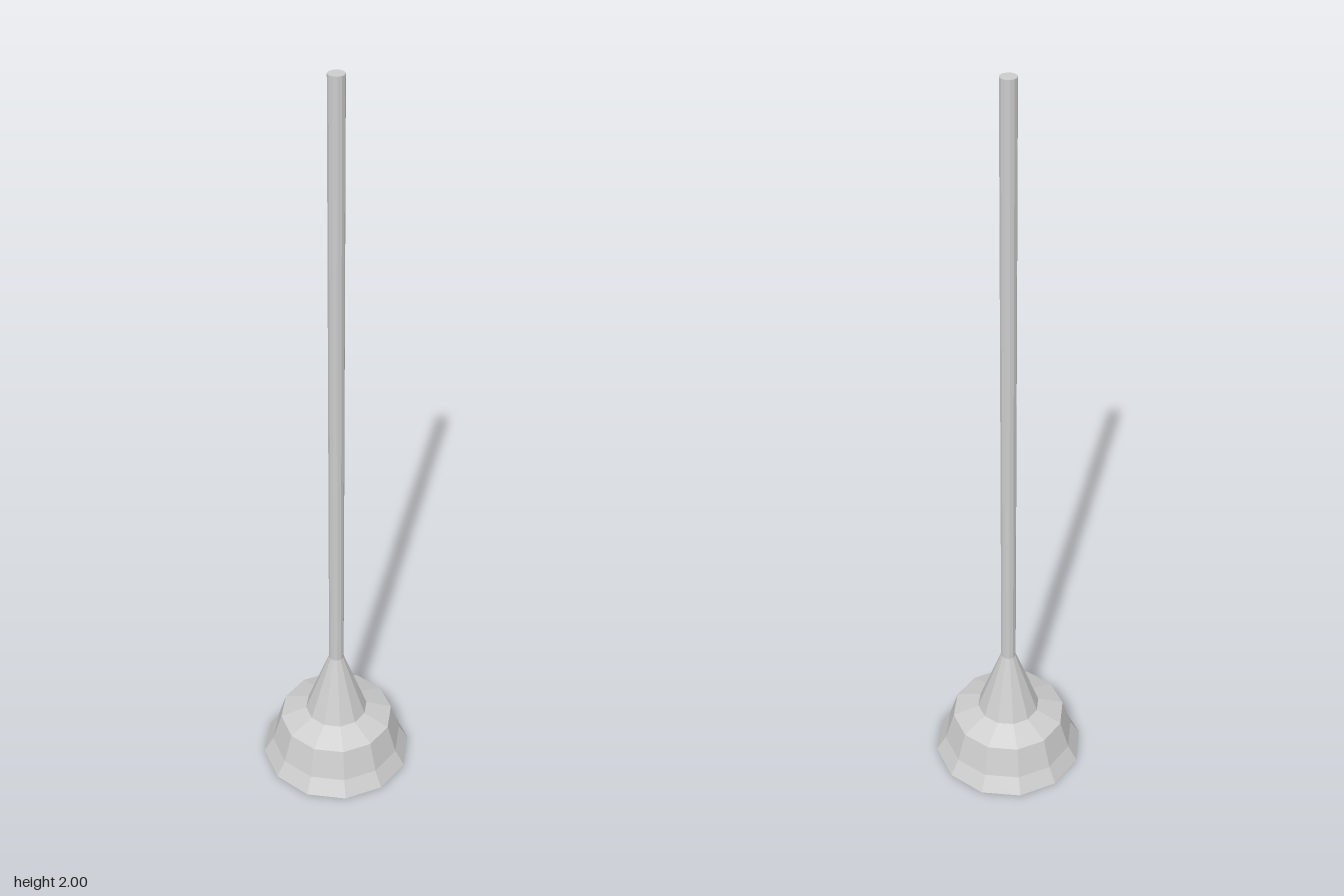
import * as THREE from 'three';

const SIDES = 12;

export function createModel() {
  const group = new THREE.Group();
  group.name = 'plunger';
  const material = new THREE.MeshStandardMaterial({ color: 0xcccccc, flatShading: true });

  // Turns a radius/height profile, listed bottom to top, into a faceted part
  const addLathe = (name, profile) => {
    const points = profile.map(([r, y]) => new THREE.Vector2(r, y));
    const mesh = new THREE.Mesh(new THREE.LatheGeometry(points, SIDES), material);
    mesh.name = name;
    group.add(mesh);
  };

  // Cup: recessed underside, flat rim, flared wall and sloping shoulder
  addLathe('cup', [
    [0, 0.04], [0.157, 0.04], [0.163, 0], [0.206, 0],
    [0.18, 0.045], [0.155, 0.13], [0.085, 0.157],
  ]);

  // Conical socket that grips the handle
  addLathe('socket', [[0.085, 0.157], [0.02, 0.345]]);

  // Long straight handle with a flat top
  addLathe('handle', [[0.02, 0.345], [0.02, 2], [0, 2]]);

  return group;
}
